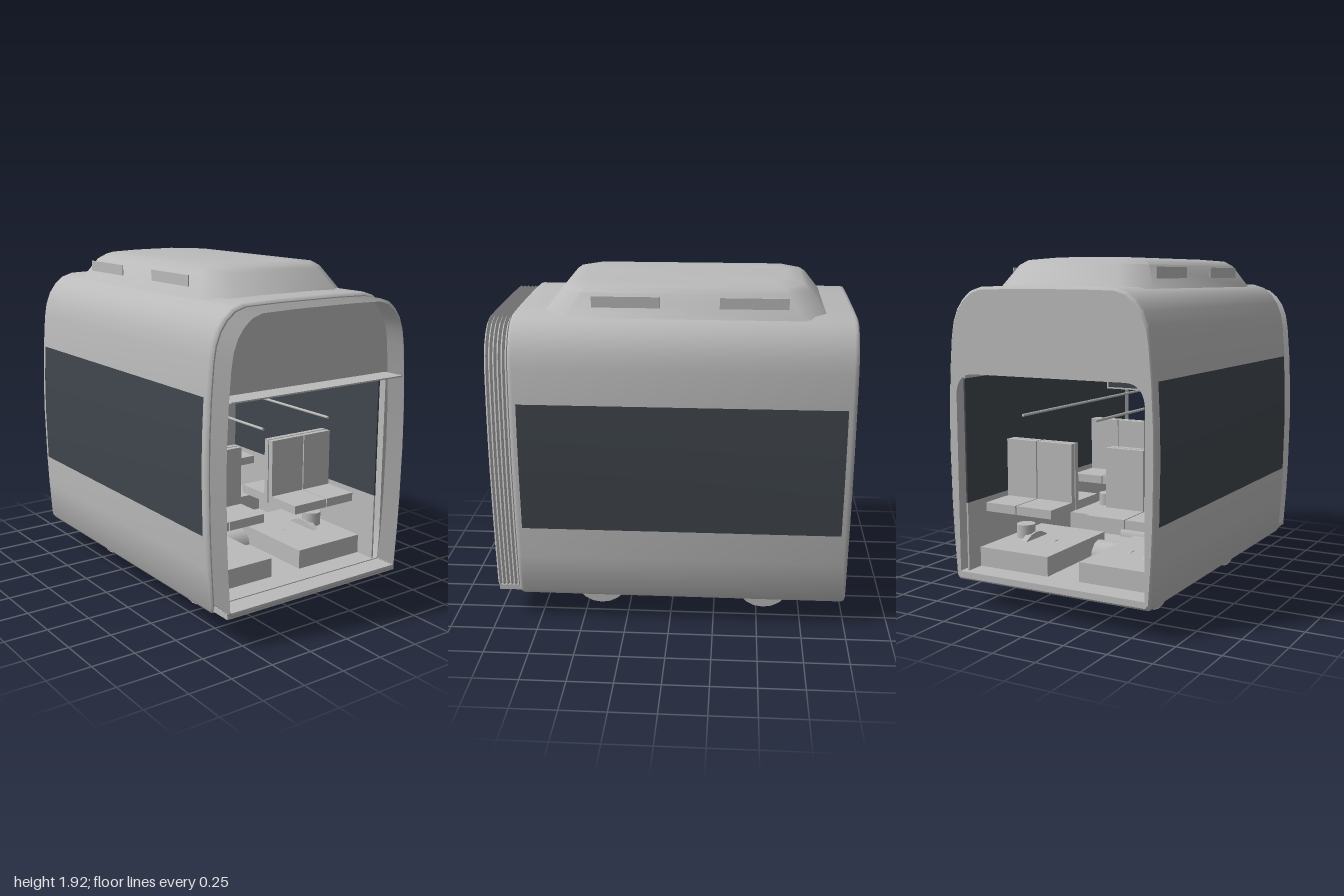
import * as THREE from 'three';
import { toCreasedNormals } from 'three/addons/utils/BufferGeometryUtils.js';

const shellGrey = new THREE.MeshStandardMaterial({ color: 0xbbbbbb, side: THREE.DoubleSide });
shellGrey.name = 'light grey';
const glassDark = new THREE.MeshStandardMaterial({ color: 0x40464d, side: THREE.DoubleSide });
glassDark.name = 'dark glass';

// Half of the body cross-section, from the sill up to the roof
const HALF = [[0.59, 0.15], [0.606, 0.17], [0.621, 0.4], [0.629, 0.58], [0.635, 0.9], [0.632, 1.1],
  [0.622, 1.31], [0.606, 1.5], [0.592, 1.58], [0.565, 1.65], [0.525, 1.705], [0.475, 1.745], [0.41, 1.765], [0.2, 1.77]];
const RING = [...HALF, ...HALF.slice().reverse().map(([x, y]) => [-x, y])];
const MID_Y = 0.96;

// Body section at z, scaled about the middle
const section = (z, s) => RING.map(([x, y]) => new THREE.Vector3(x * s, MID_Y + (y - MID_Y) * s, z));

// Skin over a list of equal-length sections
function loft(rings, { closed = true, cap = null, crease = 0.7 } = {}) {
  const n = rings[0].length, pos = [], idx = [];
  rings.forEach(r => r.forEach(p => pos.push(p.x, p.y, p.z)));
  for (let i = 0; i < rings.length - 1; i++) {
    for (let j = 0; j < (closed ? n : n - 1); j++) {
      const a = i * n + j, b = i * n + (j + 1) % n;
      idx.push(a, b, a + n, b, b + n, a + n);
    }
  }
  if (cap) {
    const c = pos.length / 3, base = (rings.length - 1) * n;
    pos.push(cap.x, cap.y, cap.z);
    for (let j = 0; j < n; j++) idx.push(base + j, base + (j + 1) % n, c);
  }
  const g = new THREE.BufferGeometry();
  g.setAttribute('position', new THREE.Float32BufferAttribute(pos, 3));
  g.setIndex(idx);
  return toCreasedNormals(g, crease);
}

export function createModel() {
  const model = new THREE.Group();
  model.name = 'railCarriage';

  function add(name, geo, mat = shellGrey, x = 0, y = 0, z = 0) {
    const m = new THREE.Mesh(geo, mat);
    m.name = name;
    m.position.set(x, y, z);
    model.add(m);
    return m;
  }
  // Box given by its limits on each axis
  const box = (name, [x0, x1], [y0, y1], [z0, z1], mat) =>
    add(name, new THREE.BoxGeometry(Math.abs(x1 - x0), y1 - y0, z1 - z0), mat, (x0 + x1) / 2, (y0 + y1) / 2, (z0 + z1) / 2);
  // Cylinder lying along x
  const roller = (name, r, len, x, y, z, sides = 20) =>
    add(name, new THREE.CylinderGeometry(r, r, len, sides).rotateZ(Math.PI / 2), shellGrey, x, y, z);

  // Body shell with softly rounded ends
  add('bodyShell', loft([section(0.87, 0.98), section(0.862, 0.994), section(0.845, 1),
    section(-0.975, 1), section(-0.992, 0.994), section(-1, 0.98)]));

  // Gangway bellows
  const folds = [];
  for (let i = 0; i <= 12; i++) folds.push(section(0.865 + i * 0.135 / 12, i % 2 ? 0.975 : 0.955));
  add('gangwayBellows', loft(folds, { crease: 0.3 }));

  // End walls with doorway openings
  function endWall(name, z, opening) {
    const shape = new THREE.Shape(section(0, 0.98).map(p => new THREE.Vector2(p.x, p.y)));
    shape.holes.push(opening);
    add(name, new THREE.ShapeGeometry(shape), shellGrey, 0, 0, z);
  }
  const arch = new THREE.Path();
  arch.moveTo(-0.575, 0.2).lineTo(0.575, 0.2).lineTo(0.575, 1.19);
  arch.quadraticCurveTo(0.565, 1.3, 0.46, 1.3).lineTo(-0.46, 1.3);
  arch.quadraticCurveTo(-0.565, 1.3, -0.575, 1.19).lineTo(-0.575, 0.2);
  endWall('rearWall', -0.999, arch);
  const square = new THREE.Path();
  square.moveTo(-0.585, 0.2).lineTo(0.585, 0.2).lineTo(0.585, 1.3).lineTo(-0.585, 1.3).lineTo(-0.585, 0.2);
  endWall('frontWall', 0.869, square);

  // Floor and ceiling
  box('floor', [-0.59, 0.59], [0.165, 0.195], [-0.995, 0.99]);
  box('ceiling', [-0.58, 0.58], [1.3, 1.308], [-0.995, 1]);

  // Roof equipment cover: chamfered outline, narrowing upwards
  const coverRing = (y, hx, hz, c) => [[hx, hz - c], [hx, c - hz], [hx - c, -hz], [c - hx, -hz],
    [-hx, c - hz], [-hx, hz - c], [c - hx, hz], [hx - c, hz]].map(([x, z]) => new THREE.Vector3(x, y, z - 0.07));
  add('roofCover', loft([coverRing(1.755, 0.475, 0.775, 0.13), coverRing(1.88, 0.405, 0.68, 0.12),
    coverRing(1.908, 0.36, 0.645, 0.11), coverRing(1.92, 0.22, 0.57, 0.09)],
  { cap: new THREE.Vector3(0, 1.922, -0.07), crease: 0.75 }));

  for (const s of [1, -1]) {
    // Side window band following the body curve
    const band = HALF.filter(([, y]) => y >= 0.58 && y <= 1.31);
    add('sideWindow', loft([0.83, -0.955].map(z => band.map(([x, y]) => new THREE.Vector3(s * (x + 0.004), y, s * z))
    ).map((r, i) => r.map(p => new THREE.Vector3(p.x, p.y, i === 0 ? 0.83 : -0.955))), { closed: false }), glassDark);

    // Inner lining: lower panel, window, top rail
    const lining = [s * 0.55, s * 0.56];
    box('liningPanel', lining, [0.195, 0.58], [-0.955, 0.85]);
    box('liningWindow', lining, [0.58, 1.27], [-0.955, 0.85], glassDark);
    box('liningRail', lining, [1.27, 1.3], [-0.955, 0.85]);

    // Roof vents
    for (const z of [0.245, -0.445]) box('roofVent', [s * 0.442, s * 0.448], [1.808, 1.868], [z - 0.185, z + 0.185]);

    // Overhead handrail
    const rail = new THREE.CylinderGeometry(0.008, 0.008, 1.68, 8).rotateX(Math.PI / 2);
    add('handrail', rail, shellGrey, s * 0.225, 1.08, -0.04);

    for (const z of [0.42, -0.54]) {
      // Wheel housing and running gear
      box('wheelHousing', [s * 0.1, s * 0.55], [0.195, 0.305], [z - 0.31, z + 0.31]);
      roller('wheel', 0.165, 0.045, s * 0.4, 0.17, z);
      roller('wheelFlange', 0.172, 0.012, s * 0.382, 0.172, z);
      roller('brakeDisc', 0.12, 0.02, s * 0.25, 0.19, z);
      box('axleBox', [s * 0.36, s * 0.485], [0.125, 0.17], [z - 0.07, z + 0.07]);
      add('suspensionSpring', new THREE.CylinderGeometry(0.055, 0.055, 0.19, 16), shellGrey, s * 0.45, 0.29, z);

      // Back-to-back seat pairs
      for (const f of [1, -1]) {
        for (const [a, b] of [[0.112, 0.343], [0.35, 0.575]]) {
          const span = (p, q) => [z + Math.min(f * p, f * q), z + Math.max(f * p, f * q)];
          box('seatBack', [s * a, s * Math.min(b, 0.549)], [0.5, 0.885], span(0.004, 0.036));
          box('seatCushion', [s * a, s * Math.min(b, 0.549)], [0.5, 0.55], span(0.036, 0.25));
        }
      }
    }
  }

  // Axles and cross-mounted motors
  for (const z of [0.42, -0.54]) roller('axle', 0.016, 0.8, 0, 0.155, z, 10);
  for (const z of [0.175, -0.3]) roller('motor', 0.09, 0.4, -0.03, 0.185, z, 12);

  // Hanging display
  box('displayCase', [-0.165, 0.165], [1.15, 1.265], [-0.08, -0.04]);
  for (const z of [-0.038, -0.082]) box('displayScreen', [-0.15, 0.15], [1.16, 1.256], [z - 0.002, z + 0.002], glassDark);
  box('displayRod', [-0.006, 0.006], [1.265, 1.3], [-0.066, -0.054]);

  return model;
}
